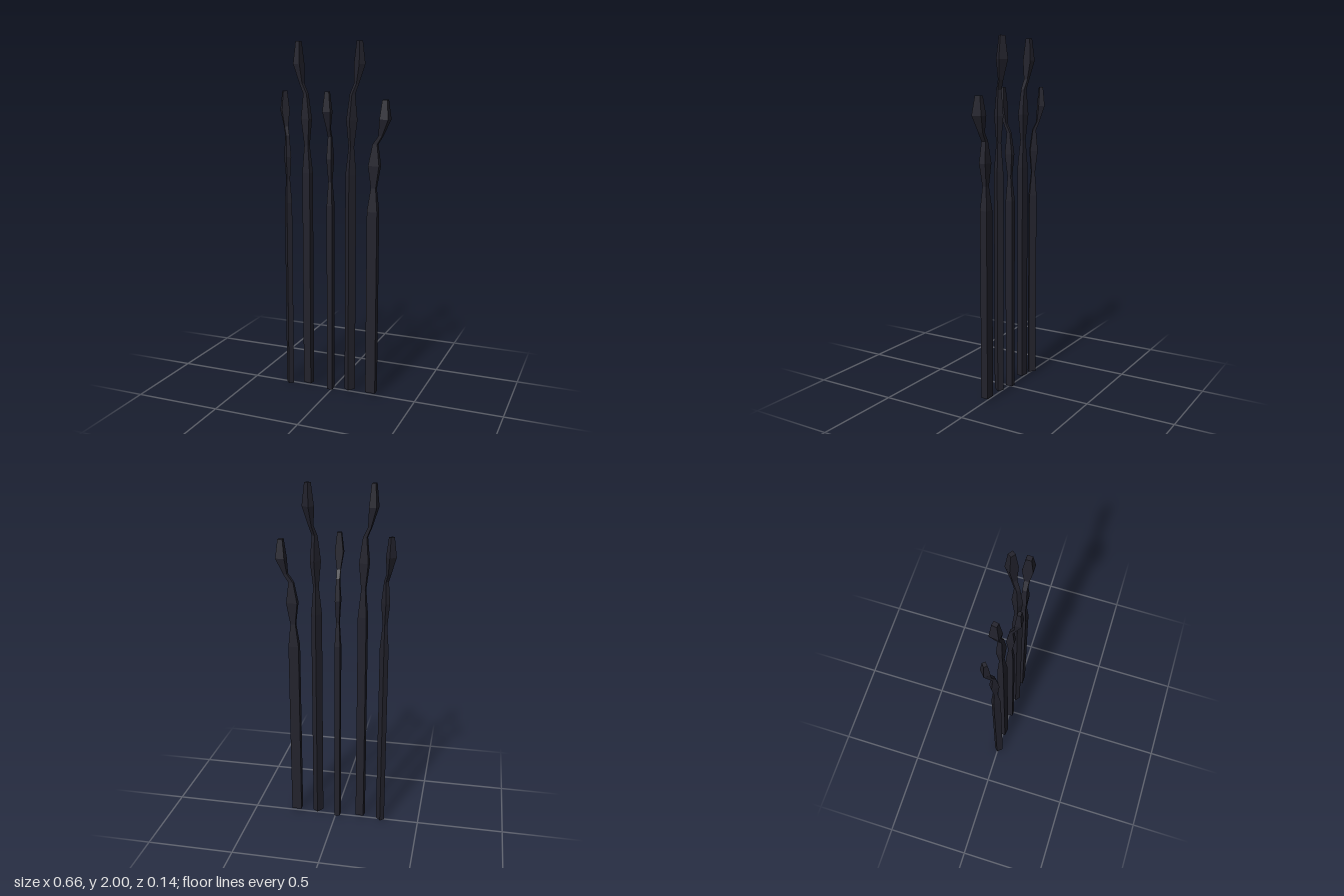
import * as THREE from 'three';

// Reed sections: height fraction, inner edge, outer edge, half thickness
const SECTIONS = [
  [0, 0, 0.058, 0.0205],        // foot
  [0.635, 0, 0.058, 0.0205],    // end of the straight stem
  [0.713, 0.018, 0.046, 0.0115],// waist
  [0.787, 0.004, 0.066, 0.019], // lower bulge
  [0.857, 0.026, 0.052, 0.0125],// neck
  [0.885, 0.059, 0.08, 0.014],  // bent neck
  [0.938, 0.069, 0.118, 0.03],  // bud
  [1, 0.08, 0.107, 0.0155],     // tip
];

// Loft of rectangles, one unit tall, leaning towards +x
function reedGeometry() {
  const points = [], index = [];
  for (const [y, a, b, h] of SECTIONS) points.push(a, y, h, b, y, h, b, y, -h, a, y, -h);
  for (let s = 0; s < SECTIONS.length - 1; s++) {
    for (let i = 0; i < 4; i++) {
      const a = s * 4 + i, b = s * 4 + (i + 1) % 4;
      index.push(a, b, b + 4, a, b + 4, a + 4);
    }
  }
  const t = (SECTIONS.length - 1) * 4;
  index.push(t, t + 1, t + 2, t, t + 2, t + 3); // tip cap
  index.push(0, 2, 1, 0, 3, 2);                 // foot cap
  const indexed = new THREE.BufferGeometry();
  indexed.setAttribute('position', new THREE.Float32BufferAttribute(points, 3));
  indexed.setIndex(index);
  const flat = indexed.toNonIndexed();
  flat.computeVertexNormals();
  return flat;
}

// Position of the back edge, foot and tip heights, lean direction, width scales
const REEDS = [
  { name: 'outerRightReed', x: -0.258, z: 0.02, foot: 0, tip: 1.73, lean: [-0.664, -0.747], su: 0.72, sv: 0.75 },
  { name: 'tallRightReed', x: -0.127, z: 0.007, foot: 0.018, tip: 2, lean: [-0.988, -0.155], su: 0.83, sv: 0.87 },
  { name: 'middleReed', x: -0.011, z: -0.018, foot: 0, tip: 1.73, lean: [0, 1], su: 0.72, sv: 0.76 },
  { name: 'tallLeftReed', x: 0.0955, z: 0.024, foot: 0.018, tip: 2, lean: [0.6, -0.8], su: 0.83, sv: 0.87 },
  { name: 'outerLeftReed', x: 0.212, z: 0.003, foot: 0.02, tip: 1.69, lean: [1, 0], su: 1, sv: 1 },
];

export function createModel() {
  const group = new THREE.Group();
  group.name = 'reeds';
  const darkReed = new THREE.MeshStandardMaterial({ color: 0x22222c });
  darkReed.name = 'darkReed';
  const geometry = reedGeometry();
  for (const r of REEDS) {
    const reed = new THREE.Mesh(geometry, darkReed);
    reed.name = r.name;
    reed.position.set(r.x, r.foot, r.z);
    reed.rotation.y = Math.atan2(-r.lean[1], r.lean[0]);
    reed.scale.set(r.su, r.tip - r.foot, r.sv);
    group.add(reed);
  }
  return group;
}
